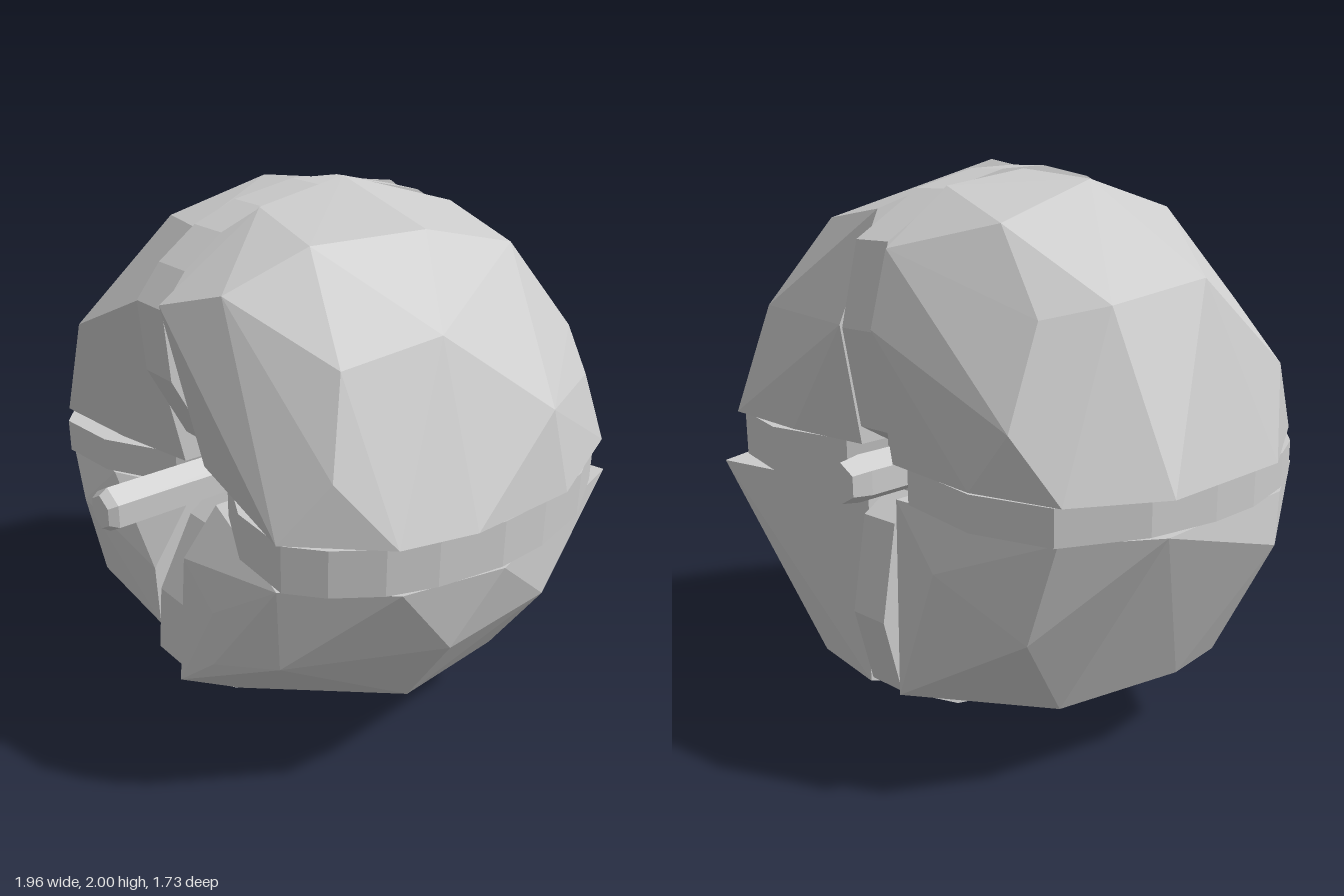
import * as THREE from 'three';
import { ConvexGeometry } from 'three/addons/geometries/ConvexGeometry.js';

export function createModel() {
  const group = new THREE.Group();
  const material = new THREE.MeshStandardMaterial({ color: 0xcccccc, flatShading: true });

  const add = (name, geometry) => {
    const mesh = new THREE.Mesh(geometry, material);
    mesh.name = name;
    group.add(mesh);
    return mesh;
  };

  // Four faceted lobes, each one quarter of the ball, dished toward the stem
  const lobes = {
    upperLeftLobe: [
      [0.07, 2, -0.1], [0.07, 1.85, -0.62], [0.07, 1.5, -0.79], [0.07, 1.1, -0.72],
      [0.07, 1.94, 0.25], [0.07, 1.69, 0.64], [0.65, 1.1, 0.64], [0.07, 1.1, 0.5],
      [0.28, 1.75, 0.55], [0.47, 1.89, -0.1], [0.5, 1.8, -0.47], [0.35, 1.87, 0.27],
      [0.74, 1.65, 0.08], [0.64, 1.58, 0.39], [0.91, 1.38, -0.26], [0.97, 1.1, 0.12],
      [0.96, 1.1, -0.3], [0.77, 1.1, -0.73], [0.74, 1.29, 0.5], [0.9, 1.1, 0.38],
      [0.62, 1.5, -0.67], [0.72, 1.35, -0.66], [0.4, 1.1, -0.75],
    ],
    upperRightLobe: [
      [-0.08, 1.97, -0.1], [-0.37, 1.94, -0.1], [-0.39, 1.82, -0.54], [-0.08, 1.92, -0.46],
      [-0.08, 1.74, -0.72], [-0.08, 1.5, -0.79], [-0.08, 1.06, -0.72], [-0.63, 1.26, -0.77],
      [-0.47, 1.06, -0.77], [-0.6, 1.56, -0.61], [-0.4, 1.84, 0.29], [-0.08, 1.87, 0.4],
      [-0.08, 1.67, 0.62], [-0.48, 1.49, 0.64], [-0.77, 1.06, 0.57], [-0.4, 1.06, 0.54],
      [-0.79, 1.65, -0.05], [-0.88, 1.35, 0.28], [-0.98, 1.06, 0.12], [-0.96, 1.06, -0.42],
      [-0.74, 1.6, -0.45], [-0.77, 1.06, -0.7], [-0.08, 1.06, 0.48],
    ],
    lowerLeftLobe: [
      [0.07, 0, -0.08], [0.34, 0.11, -0.1], [0.07, 0.13, 0.38], [0.07, 0.29, 0.64],
      [0.29, 0.48, 0.64], [0.61, 0.62, 0.6], [0.65, 0.94, 0.64], [0.07, 0.94, 0.46],
      [0.07, 0.78, 0.6], [0.3, 0.69, 0.64], [0.68, 0.33, 0.1], [0.55, 0.23, -0.47],
      [0.07, 0.25, -0.72], [0.3, 0.3, -0.73], [0.73, 0.94, -0.82], [0.91, 0.67, 0.15],
      [0.88, 0.67, -0.33], [0.98, 0.94, 0], [0.9, 0.94, 0.36], [0.07, 0.94, -0.7],
    ],
    lowerRightLobe: [
      [-0.08, 0.03, -0.2], [-0.08, 0.13, 0.42], [-0.08, 0.45, 0.62], [-0.47, 0.5, 0.62],
      [-0.56, 0.77, 0.64], [-0.38, 0.94, 0.6], [-0.08, 0.68, 0.63], [-0.08, 0.94, 0.45],
      [-0.72, 0.3, 0.2], [-0.97, 0.77, 0.15], [-0.95, 0.94, 0.2], [-0.79, 0.94, 0.56],
      [-0.94, 0.94, -0.42], [-0.74, 0.94, -0.68], [-0.76, 0.7, -0.55], [-0.29, 0.75, -0.75],
      [-0.64, 0.6, -0.7], [-0.08, 0.25, -0.72], [-0.08, 0.94, -0.71], [-0.6, 0.3, -0.5],
      [-0.3, 0.12, -0.3], [-0.73, 0.3, -0.04],
    ],
  };
  for (const [name, points] of Object.entries(lobes)) {
    add(name, new ConvexGeometry(points.map((p) => new THREE.Vector3(...p))));
  }

  // Four half slabs that fill the gaps between lobes, pitted around the stem;
  // the profile is (z, radius)
  const profile = [[0.36, 0], [0.36, 0.08], [0.47, 0.16], [0.61, 0.42], [0.63, 0.66],
    [0.54, 0.77], [0.4, 0.87], [0.24, 0.93], [0, 0.97], [-0.2, 0.96], [-0.45, 0.9],
    [-0.71, 0.75], [-0.78, 0.48], [-0.72, 0.15], [-0.6, 0.08], [-0.6, 0]];
  const slab = (name, angle, thickness, x, y) => {
    const shape = new THREE.Shape(profile.map(([z, r]) => new THREE.Vector2(-z, r)));
    const geometry = new THREE.ExtrudeGeometry(shape, { depth: thickness, bevelEnabled: false });
    geometry.translate(0, 0, -thickness / 2).rotateY(Math.PI / 2).rotateZ(angle);
    add(name, geometry).position.set(x, y, 0);
  };
  slab('upperSlab', 0, 0.15, -0.005, 1.01);
  slab('lowerSlab', Math.PI, 0.15, -0.005, 1.01);
  slab('leftSlab', -Math.PI / 2, 0.16, 0, 1.02);
  slab('rightSlab', Math.PI / 2, 0.12, 0, 1);

  // Six-sided stem through the middle with chamfered ends
  const stem = new THREE.LatheGeometry(
    [[0, -0.87], [0.068, -0.87], [0.08, -0.8], [0.08, 0.83], [0.06, 0.86], [0, 0.86]]
      .map(([r, z]) => new THREE.Vector2(r, z)), 6);
  stem.rotateX(Math.PI / 2);
  add('stem', stem).position.set(-0.005, 1.015, 0);
  return group;
}
